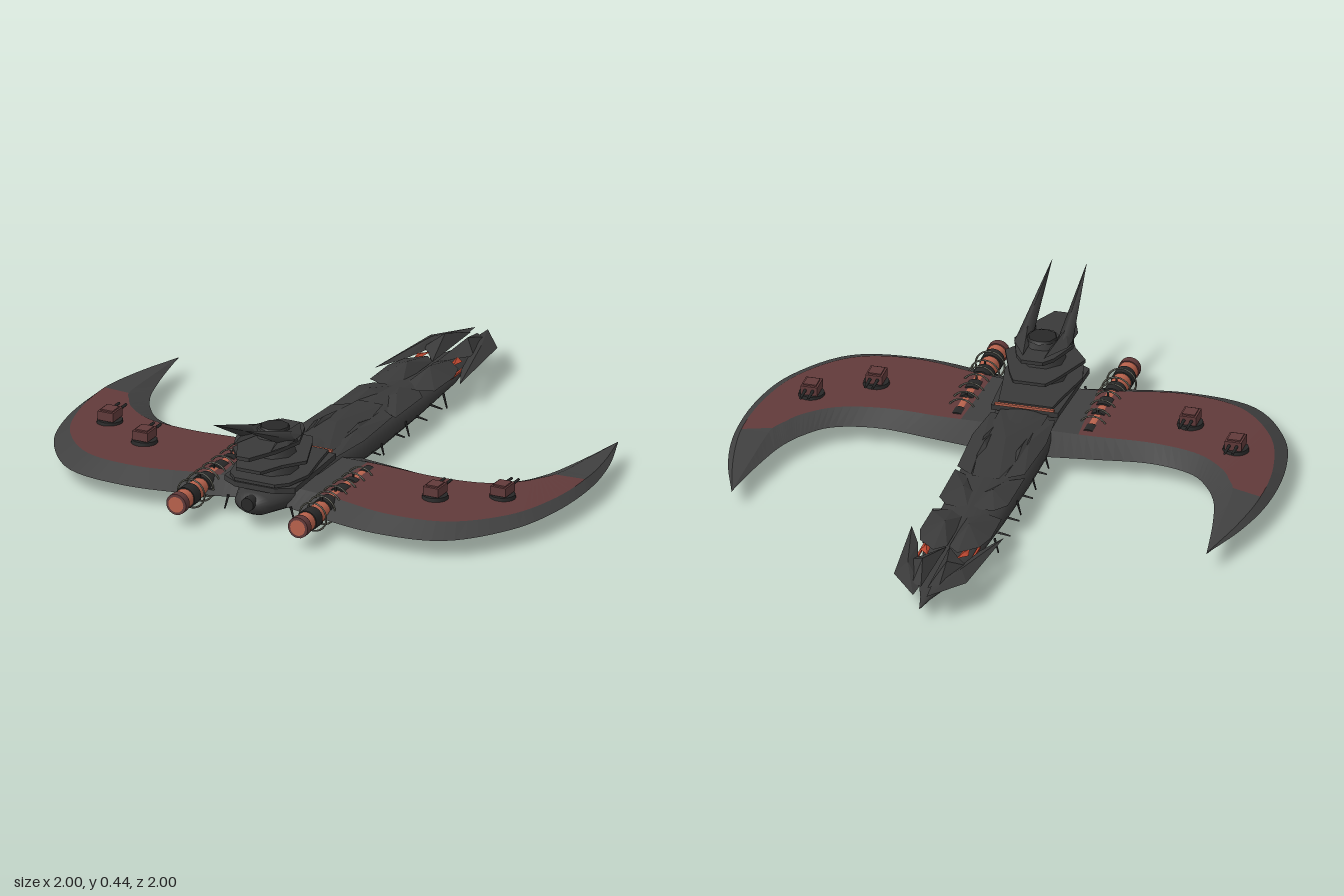
import * as THREE from 'three';

const paint = (name, color) => {
  const m = new THREE.MeshStandardMaterial({ color, side: THREE.DoubleSide });
  m.name = name;
  return m;
};

export function createModel() {
  const M = {
    hull: paint('charcoal hull', 0x393939),
    wing: paint('wing grey', 0x404040),
    red: paint('dull red', 0x613a3a),
    copper: paint('copper', 0xb9624c),
    black: paint('near black', 0x282828),
    ring: paint('olive grey', 0x5a5a50),
    eye: paint('ember', 0xb8452e),
  };
  const root = new THREE.Group();
  root.name = 'winged ship';

  const add = (parent, name, geo, mat) => {
    const mesh = new THREE.Mesh(geo, mat);
    mesh.name = name;
    parent.add(mesh);
    return mesh;
  };
  const flat = (pos, idx) => {
    let g = new THREE.BufferGeometry();
    g.setAttribute('position', new THREE.Float32BufferAttribute(pos, 3));
    g.setIndex(idx);
    g = g.toNonIndexed();
    g.computeVertexNormals();
    return g;
  };
  // Flat plate from [x, z] outline, top at y
  const prism = (pts, top, thick) => {
    const s = new THREE.Shape(pts.map(p => new THREE.Vector2(p[0], p[1])));
    return new THREE.ExtrudeGeometry(s, { depth: thick, bevelEnabled: false })
      .rotateX(Math.PI / 2).translate(0, top, 0);
  };
  const whole = half => [...half, ...half.map(([x, z]) => [-x, z]).reverse()];
  // Armour plate rising to a peak [x, y, z] over an [x, z] outline
  const facet = (pts, y, peak, drop = 0.015) => {
    const area = pts.reduce((a, p, i) => {
      const q = pts[(i + 1) % pts.length];
      return a + p[0] * q[1] - q[0] * p[1];
    }, 0);
    const o = area > 0 ? [...pts].reverse() : pts;
    const n = o.length, pos = [], idx = [];
    o.forEach(p => pos.push(p[0], y, p[1]));
    pos.push(...peak, peak[0], y - drop, peak[2]);
    for (let i = 0; i < n; i++) {
      const j = (i + 1) % n;
      idx.push(i, j, n, j, i, n + 1);
    }
    return flat(pos, idx);
  };
  // Tapered bar between two points
  const bar = (a, b, r0, r1, sides = 8) => {
    const A = new THREE.Vector3(...a), d = new THREE.Vector3(...b).sub(A);
    const g = new THREE.CylinderGeometry(r1, r0, d.length(), sides);
    g.translate(0, d.length() / 2, 0);
    g.applyQuaternion(new THREE.Quaternion().setFromUnitVectors(new THREE.Vector3(0, 1, 0), d.normalize()));
    return g.translate(...a);
  };

  // Smooth hull: z, half width, bottom, top
  const stations = [
    [0.845, 0, 0.08, 0.08], [0.84, 0.04, 0.055, 0.105], [0.81, 0.075, 0.04, 0.125],
    [0.7, 0.115, 0.024, 0.14], [0.5, 0.13, 0.012, 0.148], [0.2, 0.135, 0.004, 0.148],
    [0, 0.132, 0, 0.143], [-0.3, 0.12, 0.01, 0.128], [-0.6, 0.1, 0.025, 0.105],
    [-0.8, 0.06, 0.036, 0.085], [-0.92, 0.02, 0.045, 0.07], [-1, 0.002, 0.052, 0.056]];
  const N = 24, hp = [], hi = [];
  stations.forEach(([z, w, b, t], i) => {
    for (let k = 0; k < N; k++) {
      const a = k / N * Math.PI * 2;
      hp.push(w * Math.cos(a), (b + t) / 2 + (t - b) / 2 * Math.sin(a), z);
      if (i) {
        const k2 = (k + 1) % N, p = (i - 1) * N, q = i * N;
        hi.push(p + k, q + k, p + k2, p + k2, q + k, q + k2);
      }
    }
  });
  const hullGeo = new THREE.BufferGeometry();
  hullGeo.setAttribute('position', new THREE.Float32BufferAttribute(hp, 3));
  hullGeo.setIndex(hi);
  hullGeo.computeVertexNormals();
  add(root, 'hull', hullGeo, M.hull);
  add(root, 'sternNozzle', bar([0, 0.095, 0.8], [0, 0.095, 0.86], 0.025, 0.025, 16), M.black);

  // Crescent wing rails, root to tip: leading edge, panel edges, trailing edge
  const rails = [
    [[.1, .21], [.3, .24], [.52, .265], [.68, .22], [.76, .13], [.79, .075], [.812, .02], [.85, -.14], [.885, -.34]],
    [[.1, .335], [.28, .335], [.5, .345], [.68, .31], [.79, .225], [.828, .165], [.857, .11], [.875, -.12], [.885, -.34]],
    [[.1, .67], [.25, .69], [.5, .74], [.72, .7], [.88, .53], [.95, .32], [.967, .085], [.94, -.12], [.885, -.34]],
    [[.1, .75], [.25, .79], [.5, .83], [.75, .785], [.92, .58], [.985, .36], [.995, .09], [.957, -.13], [.885, -.34]],
  ].map(r => new THREE.CatmullRomCurve3(r.map(([x, z]) => new THREE.Vector3(x, 0, z))));
  const ROWS = 48, RED0 = 4, RED1 = 36;
  const wp = [], wi = [], ri = [];
  for (let i = 0; i <= ROWS; i++) {
    const [a, b, c, d] = rails.map(r => r.getPoint(i / ROWS));
    const f = i > RED1 ? (ROWS - i) / (ROWS - RED1) : 1;
    const top = p => 0.068 + (0.043 - 0.022 * p.x ** 4) * f;
    const low = p => 0.064 - (0.014 - 0.006 * p.x ** 4) * f;
    [[a, .068], [b, top(b)], [c, top(c)], [d, .066], [c, low(c)], [b, low(b)]]
      .forEach(([p, y]) => wp.push(p.x, y, p.z));
    if (i) for (let k = 0; k < 6; k++) {
      const p = (i - 1) * 6, q = i * 6, k2 = (k + 1) % 6;
      (k === 1 && i > RED0 && i <= RED1 ? ri : wi)
        .push(p + k, p + k2, q + k, p + k2, q + k2, q + k);
    }
  }
  const wingGeo = flat(wp, wi), panelGeo = flat(wp, ri);

  for (const s of [1, -1]) {
    const side = new THREE.Group();
    side.name = s > 0 ? 'leftSide' : 'rightSide';
    side.scale.x = s;
    root.add(side);
    add(side, 'wing', wingGeo, M.wing);
    add(side, 'wingPanel', panelGeo, M.red);

    // Twin-barrel turrets
    for (const [x, z, y] of [[.79, .39, .1], [.585, .52, .108]]) {
      const t = new THREE.Group();
      t.name = 'turret';
      t.position.set(x, y, z);
      side.add(t);
      add(t, 'turretBase', bar([0, -.01, 0], [0, .014, 0], .05, .046, 20), M.black);
      add(t, 'turretHousing', new THREE.BoxGeometry(.062, .034, .075).translate(0, .034, 0), M.red);
      add(t, 'turretRoof', new THREE.BoxGeometry(.048, .006, .055).translate(0, .053, 0), M.red);
      for (const bx of [-.014, .014])
        add(t, 'barrel', bar([bx, .035, -.03], [bx, .035, -.1], .006, .005), M.black);
    }

    // Engine pod in alternating segments with hoops
    const pod = new THREE.Group();
    pod.name = 'engine';
    pod.position.set(.245, .08, 0);
    side.add(pod);
    [[.37, .42, .036, 'black'], [.42, .5, .033, 'copper'], [.5, .53, .04, 'black'], [.53, .57, .034, 'copper'],
      [.57, .63, .04, 'black'], [.63, .69, .034, 'copper'], [.69, .75, .04, 'black'], [.75, .82, .035, 'copper'],
      [.82, .87, .04, 'black'], [.87, .91, .036, 'copper'], [.91, .94, .04, 'red']]
      .forEach(([z0, z1, r, m]) => add(pod, 'engineSegment', bar([0, 0, z0], [0, 0, z1], r, r, 18), M[m]));
    add(pod, 'exhaust', new THREE.CircleGeometry(.03, 18).translate(0, 0, .942), M.copper);
    for (const z of [.44, .5, .57, .64, .7, .75, .82])
      add(pod, 'engineHoop', new THREE.TorusGeometry(.054, .0035, 6, 24).translate(0, 0, z), M.ring);
    for (const z of [.5, .64, .75]) {
      add(pod, 'engineStrut', new THREE.BoxGeometry(.11, .005, .006).translate(0, 0, z), M.black);
      add(pod, 'engineStrut', new THREE.BoxGeometry(.006, .11, .006).translate(0, 0, z), M.black);
    }

    // Split prow and neck armour
    add(side, 'prowBlade', facet([[.025, -1], [.135, -.86], [.172, -.49], [.115, -.61], [.085, -.72], [.02, -.92]], .105, [.1, .128, -.8]), M.hull);
    add(side, 'prowPlate', facet([[.012, -.94], [.05, -.92], [.1, -.74], [.05, -.68], [.006, -.62]], .11, [.045, .15, -.8]), M.hull);
    add(side, 'eye', facet([[.055, -.7], [.09, -.67], [.08, -.62], [.06, -.64]], .112, [.07, .119, -.66], .005), M.eye);
    add(side, 'neckPlate', facet([[.004, -.62], [.045, -.66], [.11, -.6], [.132, -.52], [.13, -.37], [.06, -.34], [.004, -.38]], .113, [.045, .15, -.5]), M.hull);
    add(side, 'shoulderPlate', facet([[.004, -.34], [.09, -.33], [.128, -.28], [.13, -.06], [.07, -.1], [.004, -.22]], .122, [.055, .147, -.22]), M.hull);
    add(side, 'backScale', facet([[.05, .08], [.075, .02], [.095, .14], [.065, .22]], .14, [.07, .156, .12]), M.hull);
    add(side, 'flankPlate', facet([[.06, -.1], [.125, -.05], [.138, .2], [.12, .38], [.06, .38]], .13, [.085, .15, .16]), M.hull);
    add(side, 'neckGlow', new THREE.BoxGeometry(.008, .008, .13).translate(.098, .088, -.62), M.eye);

    // Small fins and pins along the flanks
    for (const z of [-.37, -.25, -.07, .12, .28, .68])
      add(side, 'flankPin', bar([.1, .06, z], [.162, .05, z], .005, .003, 5), M.black);
    for (const z of [-.45, -.15, .05, .22, .76])
      add(side, 'lowerPin', bar([.125, .075, z], [.14, .02, z], .005, .003, 5), M.black);

    // Swept spires
    add(side, 'spire', bar([.075, .29, .66], [.064, .443, 1], .03, .0005, 4), M.hull);
    add(side, 'spireFoot', facet([[.04, .52], [.1, .62], [.105, .74], [.075, .82], [.04, .7]], .3, [.07, .33, .7]), M.hull);
  }

  // Back deck with glowing slots
  add(root, 'spine', facet(whole([[.05, -.12], [.085, .1], [.09, .4]]), .138, [0, .16, .15]), M.hull);
  add(root, 'deck', prism(whole([[.125, .4], [.142, .76], [.08, .8]]), .15, .02), M.hull);
  [[.4, .11], [.45, .085], [.5, .075]].forEach(([z, w]) =>
    add(root, 'deckGlow', new THREE.BoxGeometry(w * 2, .009, .01).translate(0, .157, z), M.copper));

  // Tiered tower: outline, top height, thickness
  [[[[.1, .41], [.118, .52], [.145, .66], [.12, .76], [.08, .8]], .165, .012],
    [[[.06, .46], [.09, .52], [.15, .68], [.09, .76], [.05, .85]], .228, .012],
    [[[.04, .5], [.07, .54], [.11, .66], [.08, .78], [.025, .895]], .292, .014]]
    .forEach(([o, y, t]) => add(root, 'towerTier', prism(whole(o), y, t), M.hull));
  [[.15, .225, .095, .078], [.22, .285, .085, .068], [.285, .318, .07, .058]].forEach(([y0, y1, r0, r1]) => {
    const g = bar([0, y0, 0], [0, y1, 0], r0, r1, 8).rotateY(Math.PI / 8).translate(0, 0, .65);
    add(root, 'towerBody', g, M.hull);
  });
  add(root, 'towerCap', bar([0, .315, .64], [0, .325, .64], .058, .052, 8), M.black);
  for (const y of [.19, .255])
    add(root, 'towerWindow', new THREE.BoxGeometry(.05, .006, .006).translate(0, y, .565), M.copper);
  return root;
}
